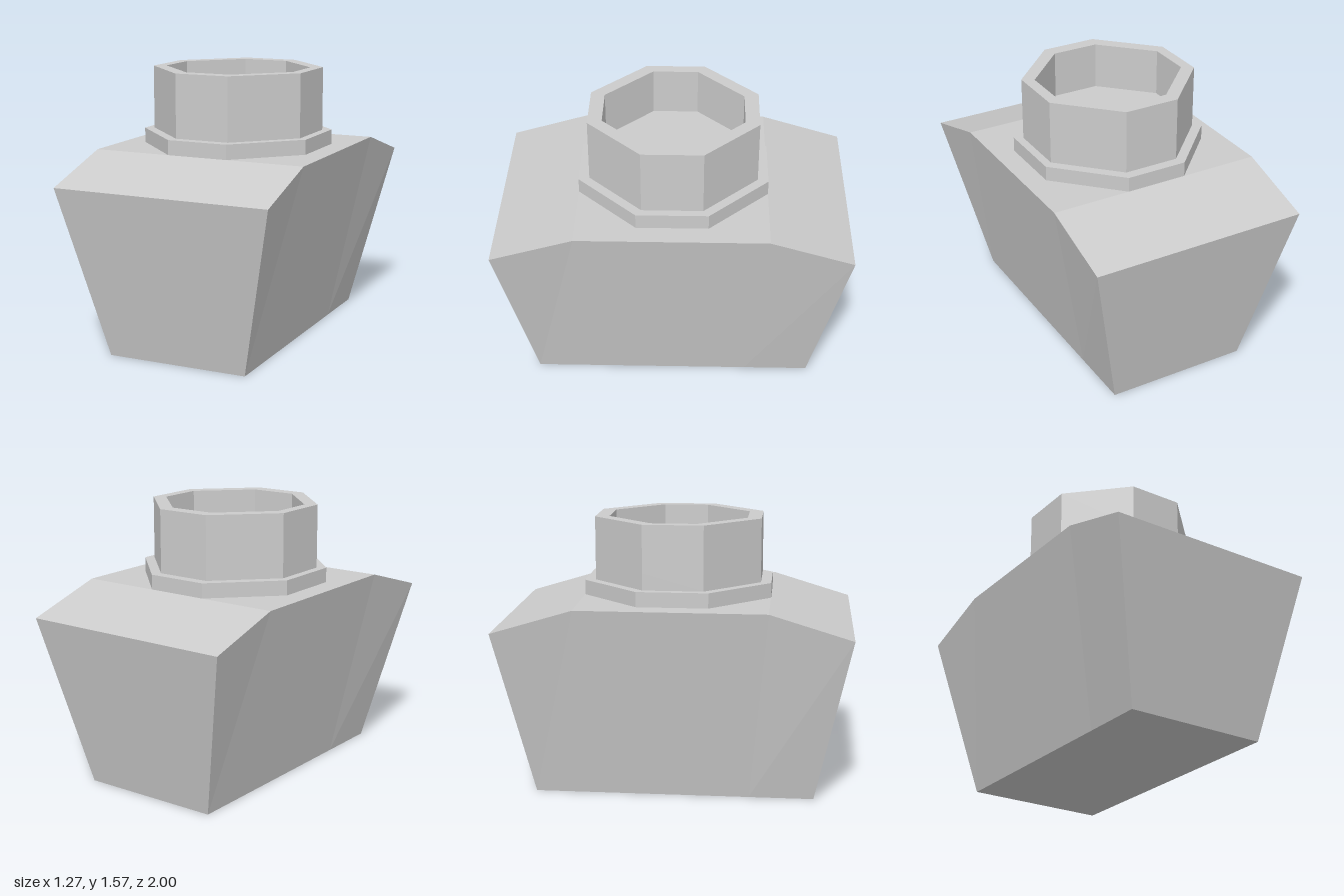
import * as THREE from 'three';

const material = new THREE.MeshStandardMaterial({ color: 0xcccccc, flatShading: true });

// Eight corners of a chamfered rectangle: half sizes w, d; flat half lengths fx, fz
const octagon = (w, d, fx, fz) => [
  [w, -fz], [w, fz], [fx, d], [-fx, d], [-w, fz], [-w, -fz], [-fx, -d], [fx, -d],
].map(([x, y]) => new THREE.Vector2(x, y));

// Upright octagonal prism from y0 to y1, with an optional octagonal hole
function prism(name, outer, y0, y1, hole) {
  const shape = new THREE.Shape(outer);
  if (hole) shape.holes.push(new THREE.Path(hole));
  const geometry = new THREE.ExtrudeGeometry(shape, { depth: y1 - y0, bevelEnabled: false });
  geometry.rotateX(-Math.PI / 2).translate(0, y0, 0);
  const mesh = new THREE.Mesh(geometry, material);
  mesh.name = name;
  return mesh;
}

// Tapered body lofted through four cross-sections from front to back
function createBody() {
  const sections = [[0.8, 1, 0.98], [0.43, 0.535, 1.12], [-0.43, -0.535, 1.12], [-0.8, -1, 0.98]]
    .map(([zBottom, zTop, yTop]) => [
      [0.415, 0, zBottom], [0.635, yTop, zTop], [-0.635, yTop, zTop], [-0.415, 0, zBottom],
    ]);
  const positions = [];
  const quad = (a, b, c, d) => positions.push(...a, ...b, ...c, ...a, ...c, ...d);
  for (let i = 0; i < 3; i++) {
    const front = sections[i], back = sections[i + 1];
    for (let j = 0; j < 4; j++) {
      const k = (j + 1) % 4;
      quad(front[j], back[j], back[k], front[k]);
    }
  }
  quad(...sections[0]);
  quad(...sections[3].slice().reverse());
  const geometry = new THREE.BufferGeometry();
  geometry.setAttribute('position', new THREE.Float32BufferAttribute(positions, 3));
  geometry.computeVertexNormals();
  const mesh = new THREE.Mesh(geometry, material);
  mesh.name = 'body';
  return mesh;
}

export function createModel() {
  const group = new THREE.Group();
  group.name = 'bottle';
  const bore = octagon(0.4, 0.395, 0.135, 0.13);
  const neck = octagon(0.463, 0.475, 0.16, 0.17);
  group.add(
    createBody(),
    prism('collar', octagon(0.51, 0.535, 0.178, 0.2), 1.12, 1.205),
    // Solid lower neck forms the floor of the recess
    prism('neckBase', neck, 1.205, 1.3),
    prism('neckRim', neck, 1.3, 1.57, bore),
  );
  return group;
}
